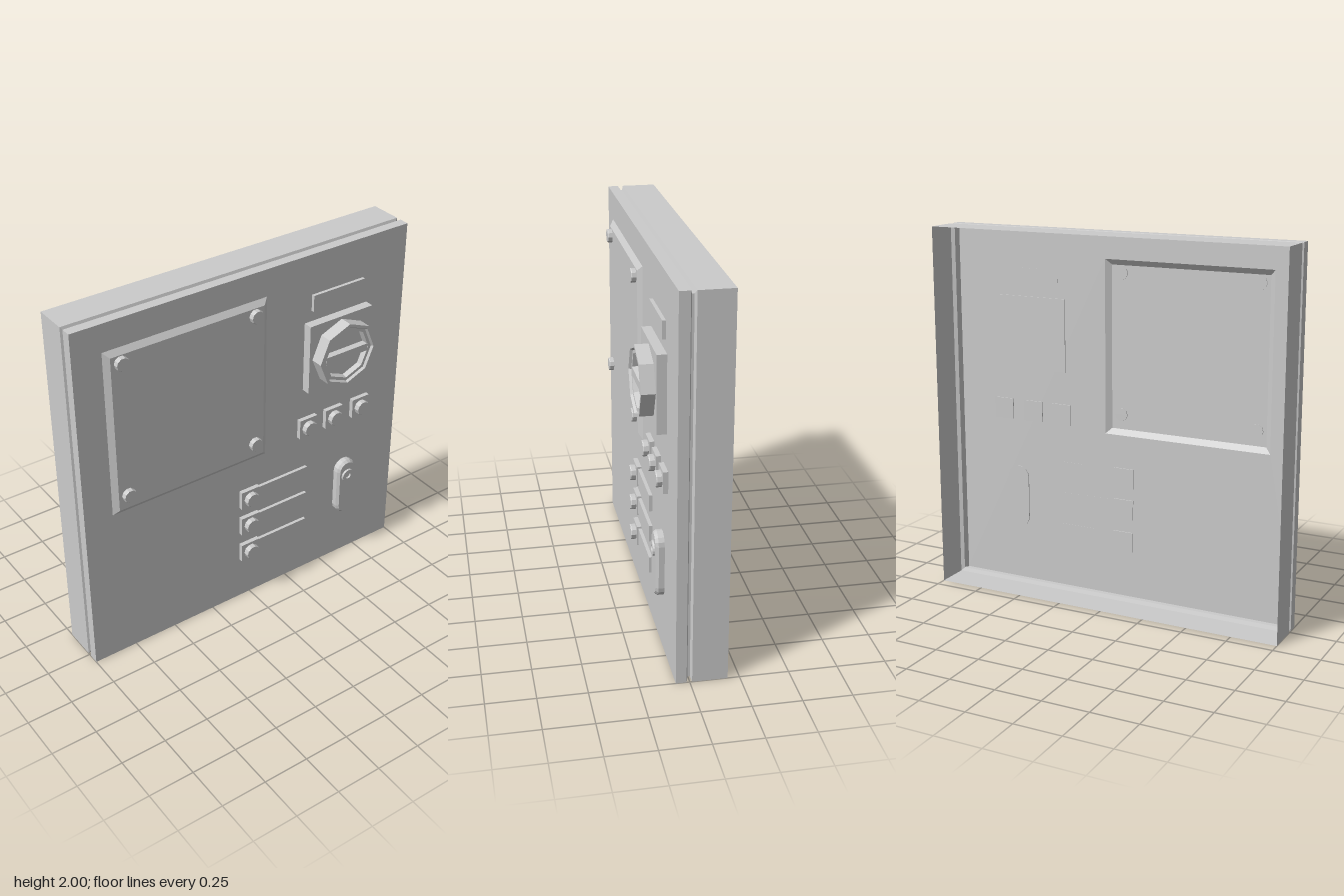
import * as THREE from 'three';

const grey = new THREE.MeshStandardMaterial({ color: 0xcccccc, flatShading: true, side: THREE.DoubleSide });

// Counter-clockwise outlines seen from the front
const rect = (hw, hh = hw) => [[-hw, -hh], [hw, -hh], [hw, hh], [-hw, hh]];
const ngon = (r, n, start = 0) => Array.from({ length: n }, (_, i) => {
  const a = start + (i / n) * Math.PI * 2;
  return [r * Math.cos(a), r * Math.sin(a)];
});
const capsule = (r, half, n = 8) => {
  const pts = [];
  for (let s = 0; s < 2; s++) {
    for (let i = 0; i <= n; i++) {
      const a = (s + i / n) * Math.PI;
      pts.push([r * Math.cos(a), r * Math.sin(a) + (s ? -half : half)]);
    }
  }
  return pts;
};

// Skin a list of [outline, z] sections, with optional flat caps
function loft(sections, capBack = true, capFront = true) {
  const out = [];
  const n = sections[0][0].length;
  const put = (s, i) => out.push(...sections[s][0][i % n], sections[s][1]);
  for (let s = 0; s + 1 < sections.length; s++) {
    for (let i = 0; i < n; i++) {
      put(s, i); put(s, i + 1); put(s + 1, i + 1);
      put(s, i); put(s + 1, i + 1); put(s + 1, i);
    }
  }
  const last = sections.length - 1;
  for (let i = 1; i + 1 < n; i++) {
    if (capBack) { put(0, 0); put(0, i + 1); put(0, i); }
    if (capFront) { put(last, 0); put(last, i); put(last, i + 1); }
  }
  const g = new THREE.BufferGeometry();
  g.setAttribute('position', new THREE.Float32BufferAttribute(out, 3));
  g.computeVertexNormals();
  return g;
}

export function createModel() {
  const group = new THREE.Group();
  const add = (name, geometry, x = 0, y = 0) => {
    const mesh = new THREE.Mesh(geometry, grey);
    mesh.name = name;
    mesh.position.set(x, y, 0);
    group.add(mesh);
    return mesh;
  };
  const block = (name, x, y, hw, hh, z0, z1) =>
    add(name, loft([[rect(hw, hh), z0], [rect(hw, hh), z1]]), x, y);
  const button = (name, x, y, r, z0, z1) =>
    add(name, loft([[ngon(r, 10), z0], [ngon(r, 10), z1 - 0.005], [ngon(r * 0.93, 10), z1]]), x, y);

  // Open-backed thin housing with a groove behind the door
  add('housing', loft([
    [rect(1), -0.19], [rect(1), -0.012], [rect(0.98), -0.004],
    [rect(0.98), 0.008], [rect(1), 0.016], [rect(1), 0.07],
  ], false, false), 0, 1);

  // Door face, cut out behind the raised window
  const wx = -0.37, wy = 1.38, wo = 0.47, wi = 0.44;
  const face = new THREE.Shape(rect(1).map(([x, y]) => new THREE.Vector2(x, y + 1)));
  face.holes.push(new THREE.Path(rect(wo).reverse().map(([x, y]) => new THREE.Vector2(x + wx, y + wy))));
  const faceGeometry = new THREE.ShapeGeometry(face);
  faceGeometry.translate(0, 0, 0.07);
  add('doorFace', faceGeometry);

  // Raised window panel with its four bolts
  add('windowPanel', loft([[rect(wo), 0.07], [rect(wi), 0.092]], false, true), wx, wy);
  for (const x of [-0.755, 0.015]) {
    for (const y of [1.02, 1.78]) button('panelBolt', x, y, 0.037, 0.087, 0.118);
  }

  // Nameplate and rotary switch
  block('nameplate', 0.55, 1.727, 0.166, 0.046, 0.0695, 0.088);
  block('switchBase', 0.545, 1.42, 0.203, 0.2, 0.064, 0.12);
  const oct = (r) => ngon(r, 8, Math.PI / 2);
  add('switchKnob', loft([
    [oct(0.185), 0.118], [oct(0.185), 0.19], [oct(0.168), 0.19],
    [oct(0.16), 0.177], [oct(0.142), 0.177], [oct(0.134), 0.15],
  ]), 0.545, 1.42);
  add('switchGrip', loft([
    [rect(0.138, 0.028), 0.149], [rect(0.138, 0.021), 0.178],
  ]), 0.545, 1.42);

  // Row of push buttons
  for (const x of [0.37, 0.545, 0.73]) {
    block('buttonBase', x, 0.985, 0.057, 0.057, 0.064, 0.095);
    button('pushButton', x, 0.985, 0.042, 0.094, 0.124);
  }

  // Three labelled indicator lamps
  for (const y of [0.673, 0.498, 0.315]) {
    block('lampBase', -0.01, y, 0.058, 0.055, 0.064, 0.095);
    button('lamp', -0.01, y, 0.042, 0.094, 0.124);
    block('lampLabel', 0.211, y, 0.163, 0.045, 0.0695, 0.088);
  }

  // Capsule-shaped lock handle with its key cylinder
  add('lockHandle', loft([
    [capsule(0.063, 0.115), 0.064], [capsule(0.063, 0.115), 0.1], [capsule(0.051, 0.115), 0.115],
  ]), 0.645, 0.482);
  add('lockCylinder', loft([
    [ngon(0.041, 16), 0.114], [ngon(0.037, 16), 0.124], [ngon(0.019, 16), 0.124], [ngon(0.014, 16), 0.116],
  ]), 0.645, 0.565);

  return group;
}
